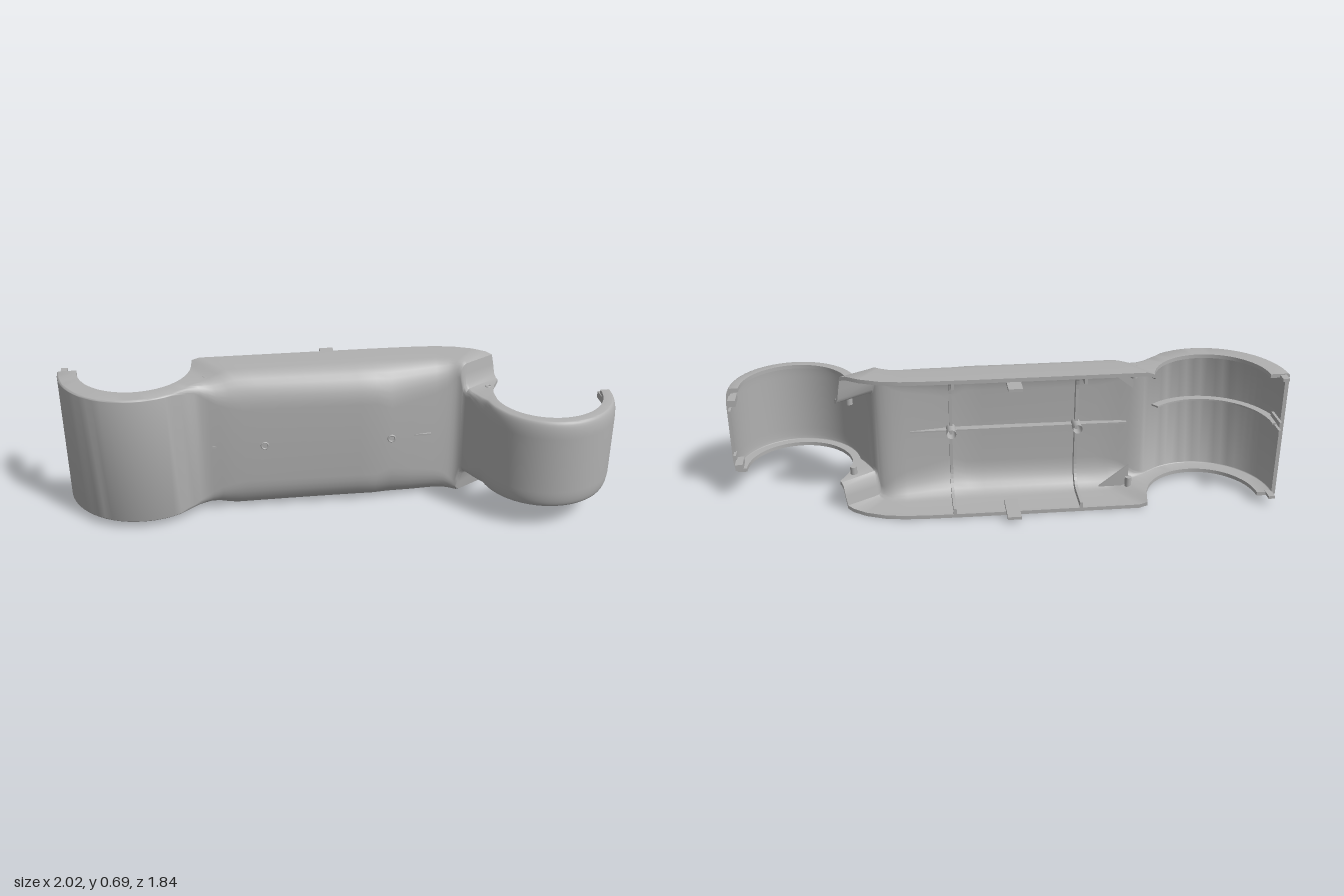
import * as THREE from 'three';
import { toCreasedNormals } from 'three/addons/utils/BufferGeometryUtils.js';

// Local frame: x runs along the arm, z points outward from the open back, y is up.
const YC = 0.346, WALL = 0.018;
const BIG = { x: -0.935, z: -0.22, inner: 0.262, outer: 0.35 };
const SMALL = { x: 0.9445, z: 0.091, inner: 0.25, outer: 0.31 };

function onArc(c, r, deg) {
  const a = THREE.MathUtils.degToRad(deg);
  return [c.x + r * Math.cos(a), c.z + r * Math.sin(a)];
}

// U-shaped section as [depth, y] pairs: top lip, rounded corner, front, mirrored below
function section(depth, h, r, ry, inset) {
  const pts = [[0, h - inset]];
  const rr = Math.max(r - inset, 0.004), rv = Math.max(ry - inset, 0.004), n = 8;
  for (let i = 0; i <= n; i++) {
    const a = (i / n) * Math.PI / 2;
    pts.push([depth - inset - rr + rr * Math.sin(a), h - inset - rv + rv * Math.cos(a)]);
  }
  return pts.concat(pts.map(([d, y]) => [d, -y]).reverse());
}

// Stations along the arm: p = open lip, q = outer face, h = half height, r/ry = corner rounding
function stations() {
  const list = [];
  const add = (p, q, h, r, ry) => list.push({ p, q, h, r, ry });
  // large half ring
  for (let a = 180; a >= 60; a -= 6) add(onArc(BIG, BIG.inner, a), onArc(BIG, BIG.outer, a), 0.312, 0.01, 0.01);
  // neck blending into the body
  const neck = [
    [52, -0.727, 0.06, 0.312, 0.015], [44, -0.695, 0.04, 0.312, 0.02], [36, -0.667, 0.026, 0.312, 0.03],
    [27, -0.64, 0.02, 0.312, 0.04], [16, -0.605, 0.022, 0.313, 0.06], [6, -0.56, 0.028, 0.318, 0.085],
    [0, -0.50, 0.032, 0.333, 0.11],
  ];
  for (const [a, x, z, h, r] of neck) add(onArc(BIG, BIG.inner, a), [x, z], h, r, r * 1.25);
  // straight body
  for (let i = 0; i <= 8; i++) {
    const t = i / 8;
    add([-0.635 + 0.775 * t, -0.219], [-0.45 + 0.61 * t, 0.034 + 0.014 * t], 0.345, 0.13, 0.16);
  }
  // tapered end and step down to the small ring
  const taper = [
    [0.23, -0.218, 0.23, 0.041, 0.345, 0.125], [0.35, -0.216, 0.33, 0.027, 0.345, 0.11],
    [0.46, -0.21, 0.44, 0.009, 0.345, 0.095], [0.55, -0.195, 0.49, 0, 0.345, 0.08],
    [0.638, -0.161, 0.515, -0.003, 0.345, 0.065], [0.695, -0.122, 0.535, -0.004, 0.344, 0.05],
    [0.722, -0.103, 0.55, 0, 0.335, 0.04], [0.73, -0.098, 0.557, 0.005, 0.29, 0.035],
    [0.737, -0.093, 0.565, 0.011, 0.24, 0.03], [0.745, -0.087, 0.576, 0.022, 0.22, 0.025],
    [0.752, -0.08, 0.59, 0.045, 0.216, 0.02],
  ];
  for (const [px, pz, qx, qz, h, r] of taper) add([px, pz], [qx, qz], h, r, r * 1.5);
  add(onArc(SMALL, SMALL.inner, 205), [0.606, 0.08], 0.216, 0.02, 0.05);
  add(onArc(SMALL, SMALL.inner, 190), [0.623, 0.113], 0.216, 0.02, 0.07);
  // small half ring with softly barrelled rim
  for (let i = 0; i <= 28; i++) {
    const a = 172 * (1 - i / 28);
    add(onArc(SMALL, SMALL.inner, a), onArc(SMALL, SMALL.outer, a), 0.216, 0.022, 0.08);
  }
  return list;
}

// Thin-walled shell lofted through all stations
function shellGeometry() {
  const rings = stations().map(({ p, q, h, r, ry }) => {
    const dx = q[0] - p[0], dz = q[1] - p[1], depth = Math.hypot(dx, dz);
    const place = ([d, y]) => [p[0] + dx * d / depth, YC + y, p[1] + dz * d / depth];
    const outer = section(depth, h, r, ry, 0), inner = section(depth, h, r, ry, WALL);
    return outer.concat(inner.reverse()).map(place);
  });
  const pos = [], n = rings[0].length;
  const quad = (a, b, c, d) => pos.push(...a, ...b, ...c, ...a, ...c, ...d);
  for (let i = 0; i < rings.length - 1; i++) {
    for (let j = 0; j < n; j++) {
      const k = (j + 1) % n;
      quad(rings[i][j], rings[i][k], rings[i + 1][k], rings[i + 1][j]);
    }
  }
  // end faces
  const first = rings[0], last = rings[rings.length - 1];
  for (let j = 0; j < n / 2 - 1; j++) {
    quad(first[j], first[n - 1 - j], first[n - 2 - j], first[j + 1]);
    quad(last[j], last[j + 1], last[n - 2 - j], last[n - 1 - j]);
  }
  const g = new THREE.BufferGeometry();
  g.setAttribute('position', new THREE.Float32BufferAttribute(pos, 3));
  return toCreasedNormals(g, 0.6);
}

export function createModel() {
  const model = new THREE.Group();
  const arm = new THREE.Group();
  arm.name = 'armCover';
  arm.rotation.y = -0.588;
  model.add(arm);

  const grey = new THREE.MeshStandardMaterial({ color: 0xb0b0b0, side: THREE.DoubleSide });
  grey.name = 'plainGrey';
  const add = (name, geometry, x = 0, y = 0, z = 0) => {
    const m = new THREE.Mesh(geometry, grey);
    m.name = name;
    m.position.set(x, y, z);
    arm.add(m);
    return m;
  };
  const box = (name, sx, sy, sz, x, y, z) => add(name, new THREE.BoxGeometry(sx, sy, sz), x, y, z);

  add('shell', shellGeometry());

  // U-shaped stiffening ribs, each with a screw boss and a socket rim outside
  for (const [x, front] of [[-0.36, 0.036], [0.23, 0.041]]) {
    const depth = front + 0.218;
    const outline = section(depth, 0.345, 0.13, 0.16, 0.01)
      .concat(section(depth, 0.345, 0.13, 0.16, 0.045).reverse());
    const shape = new THREE.Shape(outline.map(([d, y]) => new THREE.Vector2(d - 0.218, y)));
    const rib = add('crossRib', new THREE.ExtrudeGeometry(shape, { depth: 0.014, bevelEnabled: false }), x + 0.007, YC, 0);
    rib.rotation.y = -Math.PI / 2;
    const boss = add('screwBoss', new THREE.CylinderGeometry(0.022, 0.022, 0.085, 20, 1, true), x, YC, front - 0.05);
    boss.rotation.x = Math.PI / 2;
    add('screwSocket', new THREE.TorusGeometry(0.016, 0.004, 8, 24), x, YC, front + 0.002);
  }

  // lengthwise spine inside the body
  box('spineRib', 1.02, 0.008, 0.035, -0.09, YC, 0.008);

  // thin curved rib inside the large ring
  const arc = new THREE.Shape();
  arc.absarc(0, 0, 0.345, Math.PI, 0.9, true);
  arc.absarc(0, 0, 0.295, 0.9, Math.PI, false);
  const ringRib = add('ringRib', new THREE.ExtrudeGeometry(arc, { depth: 0.008, bevelEnabled: false, curveSegments: 32 }), BIG.x, 0.414, BIG.z);
  ringRib.rotation.x = Math.PI / 2;

  // parts mirrored top and bottom
  for (const side of [1, -1]) {
    box('alignmentTab', 0.064, 0.014, 0.17, -0.038, YC + side * 0.32, -0.21);

    const tri = new THREE.Shape();
    tri.moveTo(-0.47, side * 0.31);
    tri.lineTo(-0.61, side * 0.31);
    tri.lineTo(-0.61, side * 0.2);
    add('cornerGusset', new THREE.ExtrudeGeometry(tri, { depth: 0.012, bevelEnabled: false }), 0, YC, -0.06);

    for (const [x, z, h] of [[-0.609, -0.07, 0.314], [0.69, -0.011, 0.216]]) {
      const rim = add('pinSocket', new THREE.TorusGeometry(0.012, 0.004, 8, 20), x, YC + side * h, z);
      rim.rotation.x = Math.PI / 2;
      add('pinBoss', new THREE.CylinderGeometry(0.016, 0.016, 0.05, 16), x, YC + side * (h - 0.03), z);
    }

    // snap clips at the free ends of both rings
    box('largeRingClip', 0.012, 0.022, 0.12, -1.25, 0.41 + side * 0.02, -0.215);
    box('largeRingPin', 0.03, 0.014, 0.06, -1.255, YC + side * 0.3, -0.235);
    box('smallRingClip', 0.035, 0.03, 0.085, 1.222, YC + side * 0.165, 0.078);
    box('smallRingPin', 0.012, 0.014, 0.05, 1.238, YC + side * 0.115, 0.075);
  }
  return model;
}
